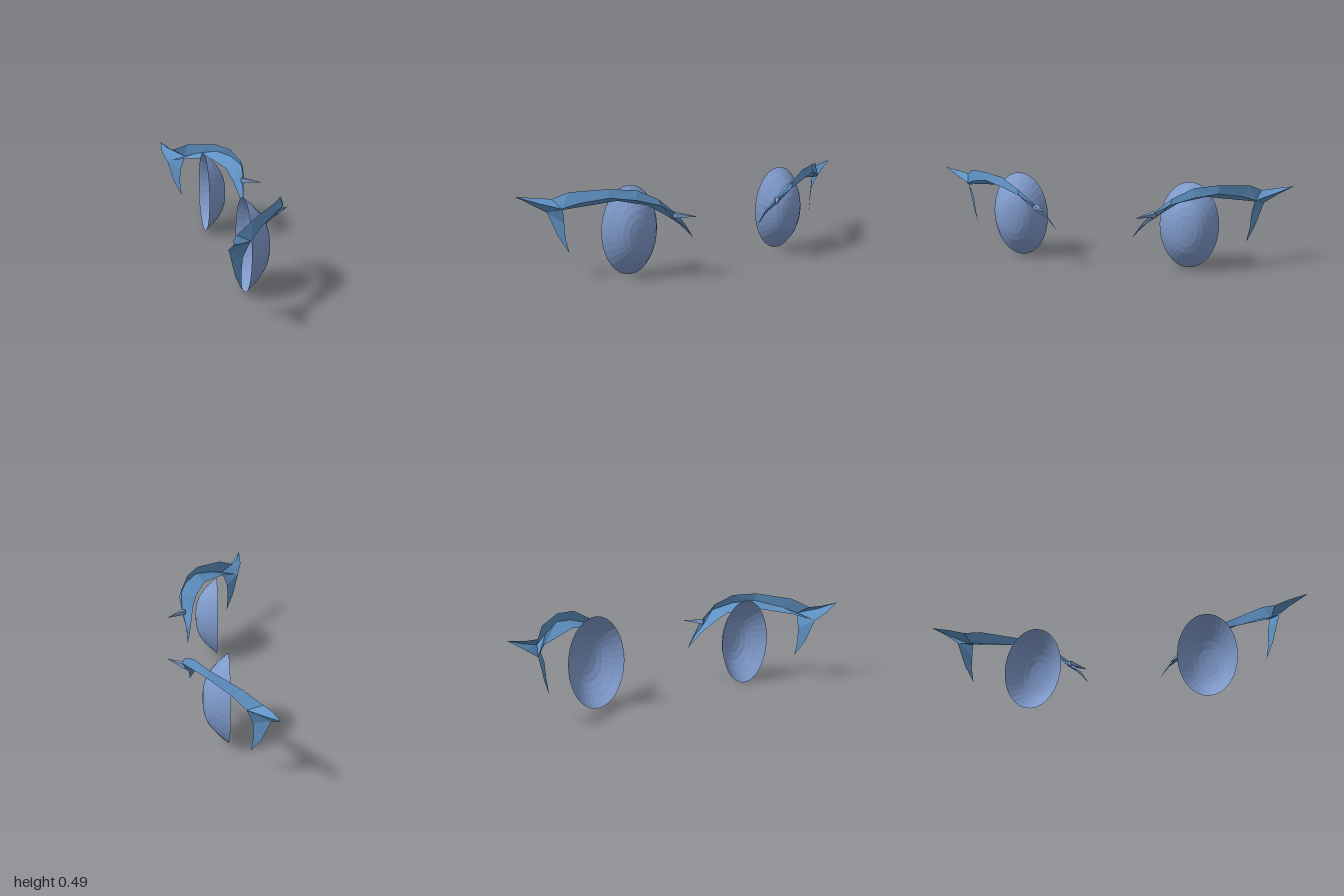
import * as THREE from 'three';

const material = (color) => new THREE.MeshStandardMaterial({ color, flatShading: true, side: THREE.DoubleSide });

// Skin a list of cross-sections (equal point counts); side = -1 mirrors in z
function skin(rows, side) {
  const pos = [];
  const tri = (a, b, c) => {
    for (const p of side > 0 ? [a, b, c] : [a, c, b]) pos.push(p[0], p[1], p[2] * side);
  };
  for (let i = 0; i < rows.length - 1; i++) {
    for (let j = 0; j < rows[i].length - 1; j++) {
      const a = rows[i][j], b = rows[i][j + 1], c = rows[i + 1][j + 1], d = rows[i + 1][j];
      if (a !== b) tri(a, b, d);
      if (c !== d) tri(b, c, d);
    }
  }
  const g = new THREE.BufferGeometry();
  g.setAttribute('position', new THREE.Float32BufferAttribute(pos, 3));
  g.computeVertexNormals();
  return g;
}

const wingTip = [-0.233, 0.44, 1.0];
const innerTip = [0.122, 0.2, 0.2];
const lashTip = [-0.14, 0.14, 0.77];

// Upper lash channel: top edge, outer ridge, inner lower edge
const upperRows = [
  [wingTip, wingTip, wingTip],
  [[-0.212, 0.426, 0.9], [-0.18, 0.406, 0.905], [-0.237, 0.39, 0.92]],
  [[-0.18, 0.42, 0.835], [-0.11, 0.38, 0.81], [-0.215, 0.345, 0.85]],
  [[-0.095, 0.463, 0.775], [-0.05, 0.412, 0.74], [-0.115, 0.375, 0.775]],
  [[0.048, 0.488, 0.63], [0.057, 0.445, 0.63], [0.01, 0.415, 0.565]],
  [[0.112, 0.48, 0.51], [0.122, 0.433, 0.52], [0.065, 0.387, 0.43]],
  [[0.151, 0.43, 0.41], [0.162, 0.398, 0.4], [0.088, 0.335, 0.35]],
  [[0.147, 0.335, 0.3], [0.14, 0.315, 0.315], [0.098, 0.29, 0.285]],
  [[0.128, 0.275, 0.248], [0.126, 0.265, 0.25], [0.11, 0.24, 0.235]],
  [innerTip, innerTip, innerTip],
];

// Drooping lash at the outer corner: right edge, left edge
const outerRows = [
  [[-0.11, 0.38, 0.805], [-0.215, 0.345, 0.85]],
  [[-0.142, 0.3, 0.79], [-0.2, 0.29, 0.832]],
  [[-0.147, 0.22, 0.785], [-0.18, 0.22, 0.81]],
  [lashTip, lashTip],
];

// Shallow open dome: unit radius, height along x
const domeProfile = [[1, -0.057], [0.85, -0.016], [0.68, 0.02], [0.53, 0.044], [0.36, 0.059], [0.18, 0.066], [0, 0.068]];

export function createModel() {
  const root = new THREE.Group();
  const lashMat = material(0x5f92c4);
  const eyeMat = material(0x7f9acb);

  for (const side of [1, -1]) {
    const eye = new THREE.Group();
    eye.name = side > 0 ? 'frontEye' : 'backEye';
    const add = (name, geometry, mat) => {
      const mesh = new THREE.Mesh(geometry, mat);
      mesh.name = name;
      eye.add(mesh);
      return mesh;
    };

    // Oval iris dome facing +x
    const dome = new THREE.LatheGeometry(domeProfile.map(([r, h]) => new THREE.Vector2(r, h)), 32);
    dome.rotateZ(-Math.PI / 2);
    dome.scale(1, 0.2365, 0.158);
    add('iris', dome, eyeMat).position.set(0, 0.2365, 0.472 * side);

    add('upperLash', skin(upperRows, side), lashMat);
    add('outerLash', skin(outerRows, side), lashMat);

    // Small spike at the inner corner
    const from = new THREE.Vector3(0.138, 0.338, 0.32 * side);
    const to = new THREE.Vector3(0.235, 0.339, 0.24 * side);
    const dir = to.clone().sub(from);
    const spike = add('innerSpike', new THREE.ConeGeometry(0.019, dir.length(), 4), eyeMat);
    spike.position.copy(from).addScaledVector(dir, 0.5);
    spike.quaternion.setFromUnitVectors(new THREE.Vector3(0, 1, 0), dir.normalize());

    root.add(eye);
  }
  return root;
}
